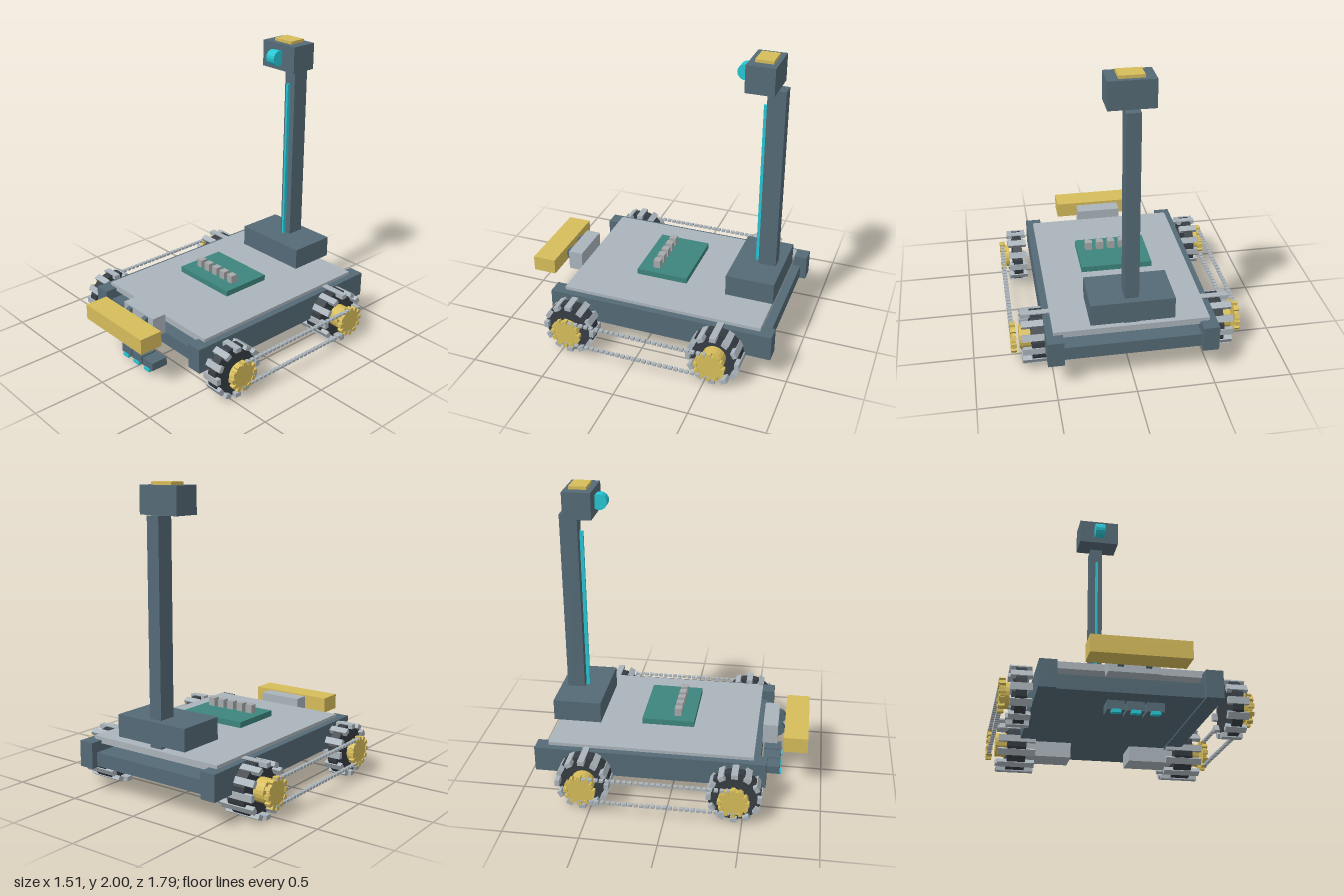
import * as THREE from 'three';

const mat = (color) => new THREE.MeshStandardMaterial({ color, flatShading: true });
const SLATE = mat(0x546a76), LIGHT = mat(0xaab4bb), TIRE = mat(0x363d43), YELLOW = mat(0xd6bc5a);
const CYAN = mat(0x26c6d4), GREEN = mat(0x3d857d), CHIP = mat(0xa6a8aa);

// Box given by its min and max on each axis
function box(parent, name, m, [x0, x1], [y0, y1], [z0, z1]) {
  const mesh = new THREE.Mesh(new THREE.BoxGeometry(x1 - x0, y1 - y0, z1 - z0), m);
  mesh.position.set((x0 + x1) / 2, (y0 + y1) / 2, (z0 + z1) / 2);
  mesh.name = name;
  parent.add(mesh);
  return mesh;
}

// Cylinder lying along x
function disc(parent, name, m, r, width, x, y, z, sides = 20) {
  const mesh = new THREE.Mesh(new THREE.CylinderGeometry(r, r, width, sides).rotateZ(Math.PI / 2), m);
  mesh.position.set(x, y, z);
  mesh.name = name;
  parent.add(mesh);
  return mesh;
}

// Ring of boxes around the x axis
function ring(parent, name, m, count, r, x, [w, radial, tangential]) {
  const geo = new THREE.BoxGeometry(w, radial, tangential);
  for (let i = 0; i < count; i++) {
    const a = (i / count) * Math.PI * 2;
    const mesh = new THREE.Mesh(geo, m);
    mesh.position.set(x, Math.cos(a) * r, Math.sin(a) * r);
    mesh.rotation.x = a;
    mesh.name = name;
    parent.add(mesh);
  }
}

// Wheel with tread pads, hub disc and toothed sprocket
function wheel(parent, name, side, z, { x, tire, pad, hub }) {
  const g = new THREE.Group();
  g.name = name;
  g.position.set(0, 0.18, z);
  disc(g, 'tire', TIRE, 0.175, tire, side * x, 0, 0);
  ring(g, 'treadPad', LIGHT, 12, 0.164, side * x, [pad, 0.03, 0.043]);
  disc(g, 'hub', YELLOW, 0.078, hub[1] - hub[0], side * (hub[0] + hub[1]) / 2, 0, 0);
  disc(g, 'sprocket', YELLOW, 0.088, 0.025, side * 0.738, 0, 0);
  ring(g, 'sprocketTooth', YELLOW, 12, 0.09, side * 0.739, [0.036, 0.026, 0.026]);
  parent.add(g);
}

export function createModel() {
  const g = new THREE.Group();
  g.name = 'roverRobot';

  // Chassis
  box(g, 'chassisBody', SLATE, [-0.45, 0.45], [0.19, 0.28], [-0.853, 0.59]);
  box(g, 'deckPlate', LIGHT, [-0.5, 0.5], [0.33, 0.373], [-0.81, 0.552]);

  // Drive on both sides
  for (const s of [1, -1]) {
    const span = (a, b) => (s > 0 ? [a, b] : [-b, -a]);
    box(g, 'sideRail', SLATE, span(0.44, 0.546), [0.18, 0.351], [-0.895, 0.637]);
    box(g, 'motor', LIGHT, span(0.2, 0.5), [0.09, 0.25], [-0.65, -0.45]);
    wheel(g, 'frontWheel', s, 0.445, { x: 0.637, tire: 0.064, pad: 0.127, hub: [0.695, 0.728] });
    wheel(g, 'rearWheel', s, -0.55, { x: 0.566, tire: 0.122, pad: 0.244, hub: [0.626, 0.7] });

    // Chain links, upper and lower run
    const links = 28;
    for (const y of [0.267, 0.1]) {
      for (let i = 0; i < links; i++) {
        const z = -0.55 + (0.995 * i) / (links - 1);
        box(g, 'chainLink', LIGHT, span(0.731, 0.755), [y - 0.008, y + 0.008], [z - 0.013, z + 0.013]);
      }
    }
    disc(g, 'bumperPivot', SLATE, 0.05, 0.035, s * 0.083, 0.36, 0.685);
  }

  // Front bumper and its mount
  box(g, 'bumperMount', LIGHT, [-0.155, 0.155], [0.28, 0.418], [0.59, 0.69]);
  box(g, 'bumper', YELLOW, [-0.295, 0.295], [0.307, 0.413], [0.735, 0.895]);

  // Low floor sensors
  for (const x of [-0.114, 0, 0.114]) {
    box(g, 'floorSensor', SLATE, [x - 0.051, x + 0.051], [0.042, 0.098], [0.595, 0.715]);
    box(g, 'sensorEye', CYAN, [x - 0.027, x + 0.027], [0.025, 0.045], [0.69, 0.725]);
  }

  // Circuit board and chips
  box(g, 'circuitBoard', GREEN, [-0.24, 0.24], [0.412, 0.451], [-0.223, 0.13]);
  for (let i = -2; i <= 2; i++) {
    const x = i * 0.078 + 0.004;
    box(g, 'chip', CHIP, [x - 0.024, x + 0.024], [0.451, 0.507], [-0.012, 0.036]);
  }

  // Mast
  box(g, 'mastBase', SLATE, [-0.268, 0.268], [0.412, 0.557], [-0.827, -0.503]);
  box(g, 'mast', SLATE, [-0.045, 0.045], [0.37, 1.802], [-0.78, -0.662]);
  box(g, 'lightStrip', CYAN, [-0.008, 0.008], [0.55, 1.682], [-0.658, -0.634]);

  // Camera head
  box(g, 'head', SLATE, [-0.145, 0.145], [1.802, 1.98], [-0.73, -0.543]);
  box(g, 'headCap', YELLOW, [-0.078, 0.078], [1.975, 2.0], [-0.7, -0.583]);
  disc(g, 'lens', CYAN, 0.052, 0.07, 0, 1.89, -0.515, 16);

  return g;
}
